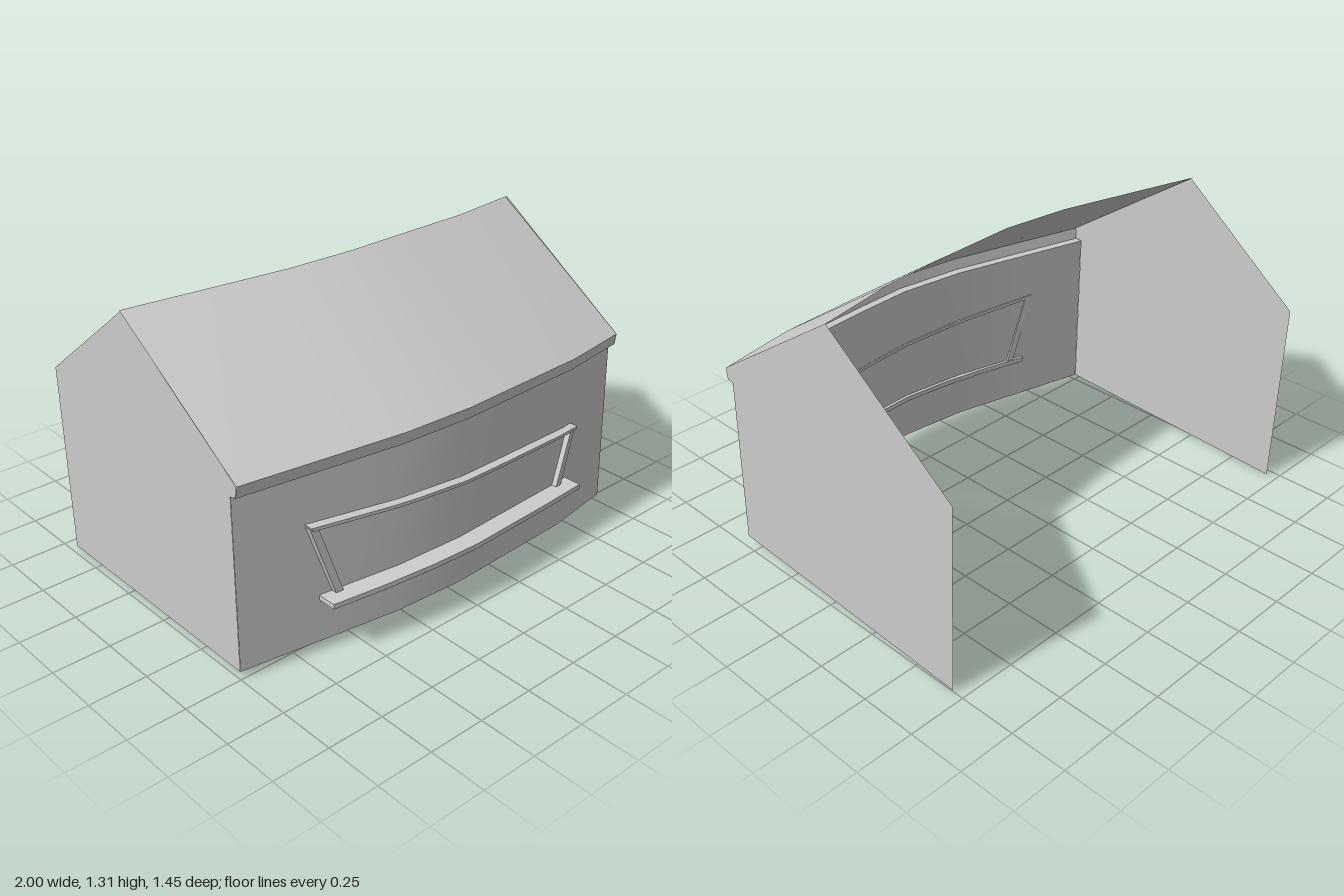
import * as THREE from 'three';

// Bow of the front: [x, z offset, y offset] at stations along the width
const bow = [
  [-0.995, -0.153, -0.03], [-0.64, -0.086, -0.018], [-0.31, -0.025, -0.007], [0, 0, 0],
  [0.22, -0.01, -0.001], [0.64, -0.033, -0.007], [0.985, -0.092, -0.016],
];

function bowAt(x, k) {
  let i = 0;
  while (i < bow.length - 2 && x > bow[i + 1][0]) i++;
  const [a, b] = [bow[i], bow[i + 1]];
  return a[k] + (b[k] - a[k]) * (x - a[0]) / (b[0] - a[0]);
}

const material = new THREE.MeshStandardMaterial({ color: 0xcccccc, side: THREE.DoubleSide });

function add(group, name, geometry) {
  geometry.computeVertexNormals();
  const mesh = new THREE.Mesh(geometry, material);
  mesh.name = name;
  group.add(mesh);
}

// Bowed sheet between a lower and an upper [z, y] edge
function sheet(low, high) {
  const g = new THREE.PlaneGeometry(1, 1, bow.length - 1, 1);
  const p = g.attributes.position;
  for (let i = 0; i < p.count; i++) {
    const [x, dz, dy] = bow[i % bow.length];
    const [z, y] = p.getY(i) > 0 ? high : low;
    p.setXYZ(i, x, y + dy, z + dz);
  }
  return g;
}

// Bar with a four-cornered front outline, following the bow of the wall
function bar(bl, br, tr, tl, back, front, segments, lift) {
  const g = new THREE.BoxGeometry(1, 1, 1, segments, 1, 1);
  const p = g.attributes.position;
  const mix = THREE.MathUtils.lerp;
  for (let i = 0; i < p.count; i++) {
    const u = p.getX(i) + 0.5, v = p.getY(i) + 0.5;
    const x = mix(mix(bl[0], br[0], u), mix(tl[0], tr[0], u), v);
    const y = mix(mix(bl[1], br[1], u), mix(tl[1], tr[1], u), v);
    const z = 0.645 + bowAt(x, 1) + (p.getZ(i) > 0 ? front : back);
    p.setXYZ(i, x, y + (lift ? bowAt(x, 2) : 0), z);
  }
  return g;
}

// Thin side wall from a [z, y] outline, slightly turned off square
function gable(outline, xAt) {
  const g = new THREE.ShapeGeometry(new THREE.Shape(outline.map(([z, y]) => new THREE.Vector2(-z, y))));
  const p = g.attributes.position;
  for (let i = 0; i < p.count; i++) {
    const z = -p.getX(i);
    p.setXYZ(i, xAt(z), p.getY(i), z);
  }
  // Outward winding for the side on -x
  if (xAt(0) < 0) g.index.array.reverse();
  return g;
}

export function createModel() {
  const house = new THREE.Group();
  house.name = 'house';

  // Front shell, open at the back
  add(house, 'frontWall', sheet([0.645, 0.06], [0.632, 0.805]));
  add(house, 'soffit', sheet([0.632, 0.805], [0.662, 0.81]));
  add(house, 'fascia', sheet([0.662, 0.81], [0.67, 0.86]));
  add(house, 'frontRoof', sheet([0.67, 0.86], [0, 1.306]));

  // Side walls
  add(house, 'leftGable', gable([
    [0.553, 0.044], [0.54, 0.79], [0.572, 0.795], [0.578, 0.845],
    [-0.092, 1.29], [-0.72, 0.835], [-0.7, 0.005],
  ], (z) => 0.985 + Math.min(0.015, (0.58 - z) * 0.0125)));
  add(house, 'rightGable', gable([
    [0.492, 0.03], [0.479, 0.775], [0.509, 0.78], [0.517, 0.83],
    [-0.153, 1.276], [-0.725, 0.84], [-0.7, 0],
  ], (z) => -0.997 + (0.52 - z) * 0.024));

  // Skewed window frame
  const frame = new THREE.Group();
  frame.name = 'windowFrame';
  add(frame, 'topBar', bar([-0.705, 0.557], [0.695, 0.508], [0.7, 0.522], [-0.712, 0.572], -0.015, 0.03, 12, false));
  add(frame, 'rightPost', bar([-0.605, 0.25], [-0.572, 0.25], [-0.677, 0.56], [-0.71, 0.56], -0.012, 0.02, 1, false));
  add(frame, 'leftPost', bar([0.583, 0.262], [0.615, 0.262], [0.698, 0.515], [0.668, 0.515], -0.012, 0.02, 1, false));
  add(frame, 'sill', bar([-0.66, 0.246], [0.68, 0.256], [0.68, 0.278], [-0.66, 0.268], -0.018, 0.08, 6, true));
  house.add(frame);

  return house;
}
